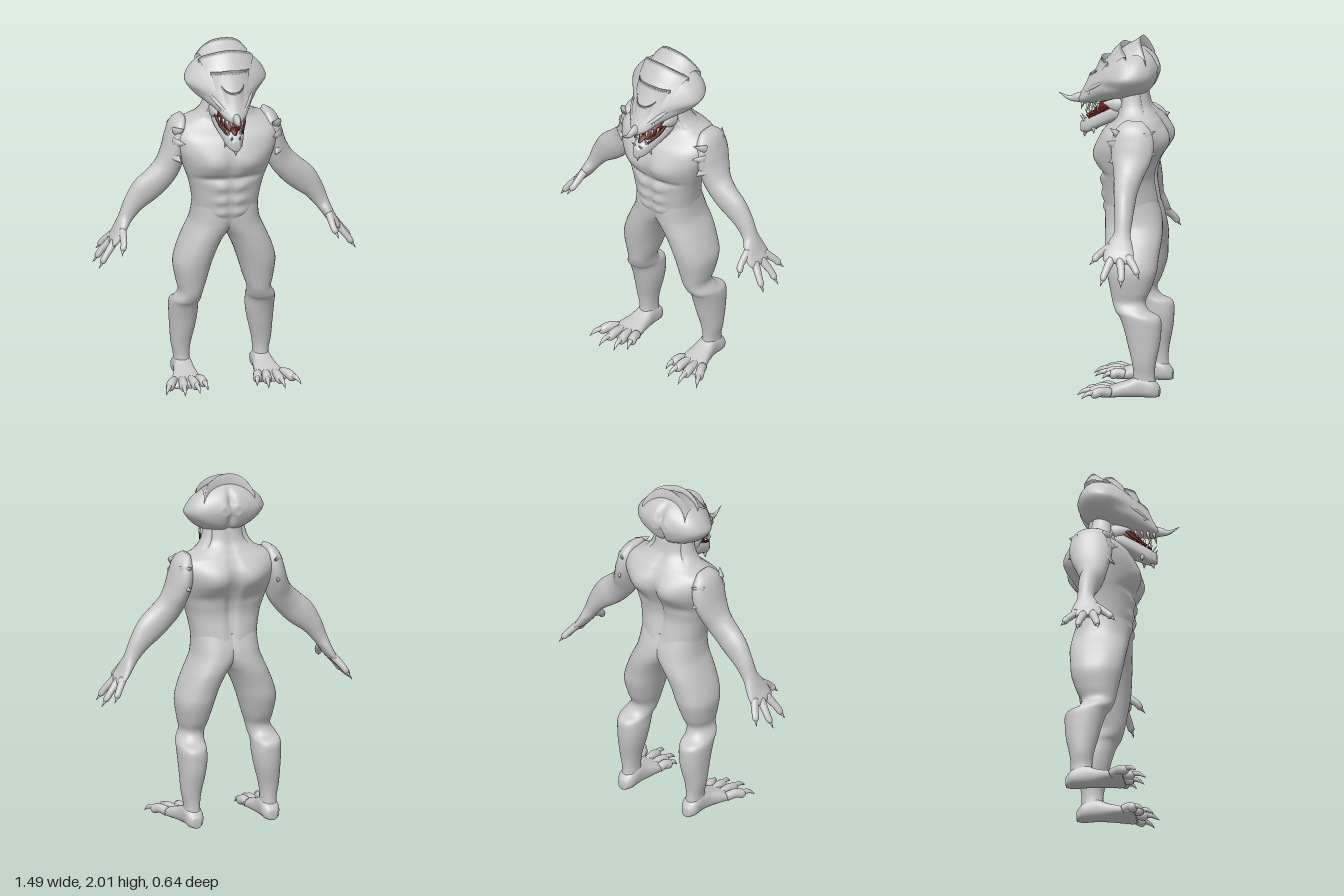
import * as THREE from 'three';

const V = (a) => new THREE.Vector3(...a);
const mat = (name, color, side = THREE.FrontSide) => {
  const m = new THREE.MeshStandardMaterial({ color, side });
  m.name = name;
  return m;
};

// Catmull-Rom blend of numeric rows at a fractional row index
function blend(rows, t) {
  const i = Math.min(Math.floor(t), rows.length - 2), f = t - i;
  const at = (k) => rows[Math.max(0, Math.min(rows.length - 1, k))];
  return rows[0].map((_, c) => {
    const [a, b, d, e] = [at(i - 1)[c], at(i)[c], at(i + 1)[c], at(i + 2)[c]];
    return b + 0.5 * f * (d - a + f * (2 * a - 5 * b + 4 * d - e + f * (3 * (b - d) + e - a)));
  });
}

// Reverse the faces of a closed geometry when they point inward
function orient(geo) {
  const p = geo.attributes.position, ix = geo.index.array;
  const [a, b, c] = [V([0, 0, 0]), V([0, 0, 0]), V([0, 0, 0])];
  let vol = 0;
  for (let i = 0; i < ix.length; i += 3) {
    a.fromBufferAttribute(p, ix[i]); b.fromBufferAttribute(p, ix[i + 1]); c.fromBufferAttribute(p, ix[i + 2]);
    vol += a.dot(b.cross(c));
  }
  if (vol < 0) for (let i = 0; i < ix.length; i += 3) [ix[i], ix[i + 1]] = [ix[i + 1], ix[i]];
  geo.computeVertexNormals();
  return geo;
}

// Closed skin over equal rings of points
function skin(rings) {
  const n = rings[0].length, pos = rings.flat(2), idx = [];
  for (let r = 0; r < rings.length - 1; r++) for (let i = 0; i < n; i++) {
    const j = (i + 1) % n, a = r * n;
    idx.push(a + i, a + j, a + n + i, a + j, a + n + j, a + n + i);
  }
  [0, rings.length - 1].forEach((r) => {
    const k = pos.length / 3, o = r * n;
    pos.push(...[0, 1, 2].map((c) => rings[r].reduce((s, q) => s + q[c], 0) / n));
    for (let i = 0; i < n; i++) {
      const j = (i + 1) % n;
      r ? idx.push(o + i, o + j, k) : idx.push(o + j, o + i, k);
    }
  });
  const g = new THREE.BufferGeometry();
  g.setAttribute('position', new THREE.Float32BufferAttribute(pos, 3));
  g.setIndex(idx);
  return orient(g);
}

// Loft along y or z; rows are [position, xMin, xMax, depthMax, depthMin]
function loft(axis, rows, { n = 32, sub = 5, p = 2, shape } = {}) {
  const rings = [], steps = (rows.length - 1) * sub;
  const pw = (v) => Math.sign(v) * Math.abs(v) ** (2 / p);
  for (let s = 0; s <= steps; s++) {
    const [a, x0, x1, d1, d0] = blend(rows, s / sub);
    rings.push(Array.from({ length: n }, (_, i) => {
      const t = (i / n) * Math.PI * 2;
      const x = (x0 + x1) / 2 + ((x1 - x0) / 2) * pw(Math.cos(t));
      const d = (d0 + d1) / 2 + ((d1 - d0) / 2) * pw(Math.sin(t));
      const q = axis === 'y' ? [x, a, d] : [x, d, a];
      return shape ? shape(q, Math.sin(t)) : q;
    }));
  }
  return skin(rings);
}

// Limb along a path; rows are [x, y, z, radius, radius along ref]
function limb(rows, ref = [0, 0, 1], n = 14, sub = 4) {
  const rings = [], end = rows.length - 1;
  for (let s = 0; s <= end * sub; s++) {
    const t = s / sub, r = blend(rows, t);
    const dir = V(blend(rows, Math.min(end, t + 0.1)).slice(0, 3)).sub(V(blend(rows, Math.max(0, t - 0.1)).slice(0, 3))).normalize();
    const u = V(ref).cross(dir).normalize(), w = dir.cross(u);
    rings.push(Array.from({ length: n }, (_, i) => {
      const a = (i / n) * Math.PI * 2;
      return V(r.slice(0, 3)).addScaledVector(u, Math.cos(a) * r[3]).addScaledVector(w, Math.sin(a) * r[4]).toArray();
    }));
  }
  return skin(rings);
}
const spike = (a, b, r, r2 = r, ref = [0, 0, 1]) => limb([[...a, r, r2], [...b, 0.001, 0.001]], ref, 8, 2);
const bump = (x, y, cx, cy, sx, sy) => Math.exp(-(((x - cx) / sx) ** 2) - ((y - cy) / sy) ** 2);

// Head cross-sections, front to back
const HEAD_POWER = 1.75;
const HEAD = [
  [0.205, -0.02, 0.02, 1.655, 1.62], [0.17, -0.062, 0.062, 1.71, 1.61], [0.08, -0.12, 0.12, 1.835, 1.625],
  [0, -0.18, 0.18, 1.91, 1.64], [-0.07, -0.222, 0.222, 1.94, 1.65], [-0.15, -0.215, 0.215, 1.945, 1.675],
  [-0.21, -0.16, 0.16, 1.905, 1.715], [-0.243, -0.06, 0.06, 1.85, 1.78]];
function headTop(x, z) {
  let i = 0;
  while (i < HEAD.length - 2 && HEAD[i + 1][0] > z) i++;
  const f = (z - HEAD[i][0]) / (HEAD[i + 1][0] - HEAD[i][0]);
  const [, , w, t, b] = HEAD[i].map((v, c) => v + (HEAD[i + 1][c] - v) * f);
  return (t + b) / 2 + ((t - b) / 2) * Math.max(0, 1 - Math.abs(x / w) ** HEAD_POWER) ** (1 / HEAD_POWER);
}

// Overlapping crest plate: rear edge bowed forward in the middle, swept out at both corners
function plate(front, rear, half, lift) {
  const g = new THREE.PlaneGeometry(2, 1, 24, 9), p = g.attributes.position;
  for (let i = 0; i < p.count; i++) {
    const u = p.getX(i), v = Math.min(1, (p.getY(i) + 0.5) * 1.125), lip = p.getY(i) > 0.45;
    const x = u * half * (0.75 + 0.25 * v), horn = Math.abs(u) ** 4;
    const z = front + (rear - front) * v + 0.035 * (1 - u * u) - 0.015 * horn * v;
    p.setXYZ(i, x, headTop(x, z) + (lip ? -0.01 : 0.004 + lift * v * v * (1 - 0.45 * horn)), z);
  }
  g.computeVertexNormals();
  return g;
}

export function createModel() {
  const model = new THREE.Group();
  const hide = mat('grey hide', 0xc8c8c8), shell = mat('grey crest', 0xc8c8c8, THREE.DoubleSide);
  const red = mat('mouth red', 0x641c17), ivory = mat('tooth ivory', 0xf2ecda);
  const add = (name, geo, m = hide) => {
    const mesh = new THREE.Mesh(geo, m);
    mesh.name = name;
    model.add(mesh);
  };
  const pair = (name, geo, m = hide) => {
    add('left ' + name, geo, m);
    add('right ' + name, orient(geo.clone().scale(-1, 1, 1)), m);
  };

  // Torso and neck with chest, belly and back muscles
  const torso = [[0.89, 0.02, -0.08, -0.18], [0.92, 0.11, 0, -0.225], [0.96, 0.165, 0.033, -0.25], [1.02, 0.18, 0.048, -0.256],
    [1.1, 0.188, 0.06, -0.245], [1.2, 0.21, 0.068, -0.23], [1.27, 0.235, 0.085, -0.24], [1.34, 0.26, 0.1, -0.265],
    [1.41, 0.285, 0.095, -0.285], [1.48, 0.295, 0.06, -0.288], [1.535, 0.262, 0, -0.265], [1.575, 0.18, -0.02, -0.235],
    [1.63, 0.115, -0.005, -0.2], [1.73, 0.1, -0.005, -0.18]].map(([y, w, f, b]) => [y, -w, w, f, b]);
  add('torso', loft('y', torso, { n: 72, sub: 7, p: 2.35, shape: ([x, y, z], s) => {
    const ax = Math.abs(x);
    if (s > 0) {
      z += s * (0.022 * bump(ax, y, 0.1, 1.34, 0.09, 0.06) - 0.018 * bump(ax, y, 0.1, 1.245, 0.11, 0.02)
        - 0.014 * bump(ax, y, 0, 1.36, 0.012, 0.1) - 0.007 * bump(ax, y, 0, 1.1, 0.01, 0.12));
      for (const cy of [1.19, 1.11, 1.035]) z += 0.016 * s * bump(ax, y, 0.05, cy, 0.05, 0.028);
    } else {
      z += s * (0.038 * bump(ax, y, 0.11, 1.43, 0.1, 0.075) - 0.012 * bump(ax, y, 0.16, 1.31, 0.09, 0.035)
        - 0.028 * bump(ax, y, 0, 1.3, 0.025, 0.25));
    }
    return [x, y, z];
  } }));
  pair('neck cord', limb([[0.085, 1.7, -0.1, 0.03, 0.05], [0.105, 1.61, -0.11, 0.035, 0.06], [0.16, 1.545, -0.125, 0.035, 0.08],
    [0.24, 1.5, -0.14, 0.035, 0.08]]));

  // Legs, widening at the top to wrap the hips and buttocks
  pair('leg', loft('y', [[1.1, -0.1, 0.183, 0.045, -0.235], [1.02, -0.09, 0.186, 0.049, -0.262], [0.96, -0.062, 0.195, 0.046, -0.274],
    [0.91, -0.025, 0.215, 0.042, -0.278], [0.86, 0.012, 0.238, 0.038, -0.277],
    [0.78, 0.05, 0.27, 0.03, -0.268], [0.7, 0.078, 0.288, 0.018, -0.26], [0.6, 0.107, 0.274, -0.002, -0.228],
    [0.535, 0.128, 0.262, -0.015, -0.2], [0.485, 0.135, 0.288, -0.035, -0.225], [0.45, 0.139, 0.298, -0.06, -0.285],
    [0.38, 0.14, 0.296, -0.085, -0.292], [0.3, 0.152, 0.291, -0.105, -0.285], [0.2, 0.174, 0.284, -0.13, -0.265],
    [0.12, 0.182, 0.27, -0.138, -0.258], [0.04, 0.175, 0.272, -0.12, -0.27]], { n: 40, p: 2.25 }));

  // Feet, toes and claws
  pair('foot', loft('z', [[-0.285, 0.2, 0.25, 0.06, 0.005], [-0.25, 0.175, 0.275, 0.1, 0], [-0.18, 0.172, 0.277, 0.125, 0],
    [-0.11, 0.165, 0.29, 0.095, 0], [-0.04, 0.155, 0.315, 0.07, 0], [0.02, 0.15, 0.33, 0.05, 0], [0.045, 0.17, 0.31, 0.03, 0.008]],
  { n: 24, p: 2.5 }));
  [[0.17, 0.14, 0.1], [0.215, 0.195, 0.15], [0.262, 0.285, 0.17], [0.305, 0.385, 0.13]].forEach(([x, tx, tz], i) => {
    const at = (f) => x + (tx - x) * f, zt = (f) => -0.02 + (tz + 0.02) * f;
    pair('toe ' + (i + 1), limb([[x, 0.035, -0.02, 0.026, 0.026], [at(0.3), 0.045, zt(0.3), 0.024, 0.026],
      [at(0.55), 0.033, zt(0.55), 0.025, 0.026], [at(0.66), 0.03, zt(0.66), 0.012, 0.014]], [0, 1, 0]));
    pair('toe claw ' + (i + 1), limb([[at(0.56), 0.042, zt(0.56), 0.015, 0.016], [at(0.8), 0.036, zt(0.8), 0.011, 0.012],
      [tx, 0.01, tz, 0.001, 0.001]], [0, 1, 0], 10));
  });

  // Arms running into flat palms
  pair('arm', limb([[0.235, 1.57, -0.14, 0.015, 0.05], [0.255, 1.52, -0.14, 0.05, 0.1], [0.27, 1.44, -0.14, 0.063, 0.12],
    [0.29, 1.36, -0.135, 0.066, 0.11], [0.325, 1.275, -0.125, 0.074, 0.083], [0.385, 1.205, -0.12, 0.08, 0.067],
    [0.45, 1.145, -0.125, 0.08, 0.058], [0.51, 1.075, -0.13, 0.06, 0.05], [0.555, 1, -0.13, 0.042, 0.047],
    [0.58, 0.955, -0.125, 0.034, 0.066], [0.608, 0.905, -0.12, 0.028, 0.084], [0.635, 0.868, -0.12, 0.022, 0.084],
    [0.648, 0.85, -0.12, 0.01, 0.068]], [0, 0, 1], 28, 5));

  // Fingers and claws
  [[[0.622, 0.885, -0.17], [0.662, 0.835, -0.215], [0.7, 0.775, -0.25]], [[0.635, 0.87, -0.13], [0.69, 0.805, -0.147], [0.742, 0.73, -0.152]],
    [[0.632, 0.872, -0.082], [0.685, 0.805, -0.055], [0.732, 0.735, -0.035]], [[0.59, 0.935, -0.075], [0.596, 0.885, -0.005], [0.618, 0.828, 0.045]],
  ].forEach(([a, b, c], i) => {
    const k = V(b).lerp(V(c), 0.45).toArray(), tip = V(b).lerp(V(c), 0.62).toArray();
    pair('finger ' + (i + 1), limb([[...a, 0.022, 0.026], [...b, 0.018, 0.02], [...k, 0.017, 0.018], [...tip, 0.008, 0.008]]));
    pair('finger claw ' + (i + 1), spike(k, c, 0.012));
  });

  // Shoulder spikes lying close to the skin, front and back
  [[[0.29, 1.5, -0.06], [0.25, 1.53, -0.01]], [[0.295, 1.44, -0.05], [0.25, 1.45, 0.01]], [[0.3, 1.37, -0.05], [0.268, 1.335, -0.005]],
    [[0.28, 1.49, -0.21], [0.245, 1.52, -0.265]], [[0.29, 1.41, -0.22], [0.255, 1.385, -0.27]],
  ].forEach(([a, b], i) => pair('shoulder spike ' + (i + 1), spike(a, b, 0.035, 0.02)));

  // Skull, cleft at the back and ridged along the sides
  add('skull', loft('z', HEAD, { n: 56, sub: 6, p: HEAD_POWER, shape: ([x, y, z]) => {
    const cleft = 0.03 * bump(x, z, 0, -0.25, 0.02, 0.08);
    const ridge = 1 + 0.03 * bump(y, z, 1.79, -0.06, 0.025, 0.12) - 0.06 * bump(y, z, 1.74, 0.04, 0.025, 0.08);
    return [x * ridge, y, z + cleft];
  } }));
  [[-0.03, -0.18, 0.15, 0.058], [0.07, -0.07, 0.155, 0.042], [0.13, 0.04, 0.11, 0.048], [0.16, 0.11, 0.065, 0.035],
  ].forEach((p, i) => add('crest plate ' + (i + 1), plate(...p), shell));
  add('nose horn', limb([[0, 1.645, 0.16, 0.03, 0.035], [0, 1.643, 0.21, 0.02, 0.028], [0, 1.637, 0.26, 0.01, 0.013],
    [0, 1.668, 0.32, 0.001, 0.001]], [0, 1, 0]));
  pair('brow', limb([[0.045, 1.675, 0.17, 0.008, 0.008], [0.088, 1.72, 0.115, 0.012, 0.012], [0.118, 1.755, 0.06, 0.008, 0.008]], [0, 1, 0], 10));
  pair('eye', new THREE.SphereGeometry(0.008, 12, 8).translate(0.08, 1.688, 0.138), ivory);

  // Lower jaw with cheeks, mouth and chin spikes
  add('lower jaw', loft('z', [[0.195, -0.02, 0.02, 1.51, 1.45], [0.15, -0.046, 0.046, 1.54, 1.45], [0.08, -0.07, 0.07, 1.582, 1.485],
    [0, -0.09, 0.09, 1.63, 1.52], [-0.08, -0.09, 0.09, 1.66, 1.55]], { n: 24, p: 2.6 }));
  pair('cheek', limb([[0.076, 1.635, 0.06, 0.002, 0.002], [0.08, 1.63, 0.03, 0.02, 0.012], [0.082, 1.625, -0.04, 0.04, 0.022],
    [0.07, 1.63, -0.12, 0.01, 0.01]], [1, 0, 0]));
  add('mouth', loft('z', [[0.13, -0.03, 0.03, 1.56, 1.515], [0.1, -0.048, 0.048, 1.61, 1.54], [0.05, -0.07, 0.07, 1.645, 1.56],
    [-0.02, -0.075, 0.075, 1.65, 1.6]], { n: 24, p: 2.6 }), red);
  pair('lip', limb([[0.086, 1.622, 0.035, 0.006, 0.008], [0.073, 1.582, 0.08, 0.007, 0.009], [0.046, 1.543, 0.145, 0.005, 0.007]], [0, 1, 0], 10), red);
  add('tongue', limb([[0, 1.575, 0.07, 0.028, 0.014], [0, 1.56, 0.13, 0.022, 0.01], [0, 1.54, 0.165, 0.008, 0.005]], [0, 1, 0]), red);
  add('chin spike', spike([0, 1.475, 0.165], [0, 1.42, 0.178], 0.025));
  pair('chin spike', spike([0.038, 1.49, 0.12], [0.05, 1.45, 0.115], 0.018));

  // Teeth along both jaws, with one longer fang each
  for (let i = 0; i < 4; i++) {
    const z = 0.18 - i * 0.032, x = 0.028 + i * 0.015, y = 1.515 + i * 0.019, long = i === 1 ? 0.05 : 0.032;
    pair('upper tooth ' + (i + 1), spike([x, 1.626, z], [x, 1.615 - long, z + 0.01], 0.009), ivory);
    pair('lower tooth ' + (i + 1), spike([x * 0.8, y, z - 0.008], [x * 0.88, y + long, z + 0.018], 0.007), ivory);
  }
  return model;
}
